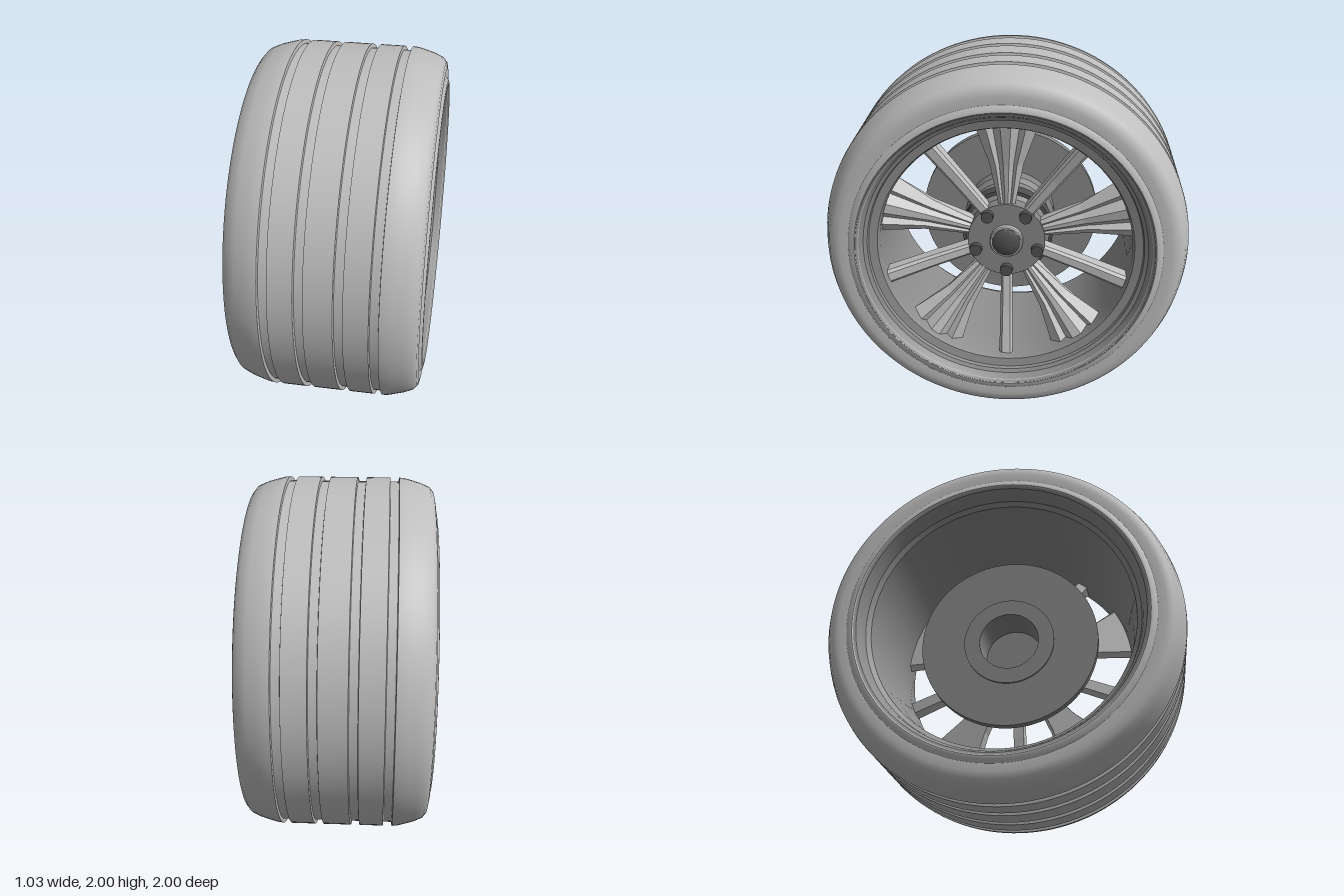
import * as THREE from 'three';
import { toCreasedNormals } from 'three/addons/utils/BufferGeometryUtils.js';

const mat = (name, color, side = THREE.FrontSide) => {
  const m = new THREE.MeshStandardMaterial({ color, side });
  m.name = name;
  return m;
};

// Revolve [radius, x] points around the x axis, keeping hard edges
function revolve(name, points, material, segments = 96, crease = 0.5) {
  const lathe = new THREE.LatheGeometry(points.map(([r, x]) => new THREE.Vector2(r, x)), segments);
  lathe.rotateZ(-Math.PI / 2);
  const mesh = new THREE.Mesh(toCreasedNormals(lathe, crease), material);
  mesh.name = name;
  return mesh;
}

// Skin a list of closed cross-sections, each a list of [x, y, z] corners
function loft(sections) {
  const pos = [];
  for (let i = 0; i < sections.length - 1; i++) {
    const s = sections[i], t = sections[i + 1], n = s.length;
    for (let j = 0; j < n; j++) {
      const k = (j + 1) % n;
      pos.push(...s[j], ...t[j], ...t[k], ...s[j], ...t[k], ...s[k]);
    }
  }
  const g = new THREE.BufferGeometry();
  g.setAttribute('position', new THREE.Float32BufferAttribute(pos, 3));
  g.computeVertexNormals();
  return g;
}

// Stations along a spoke: [radius, half width, front x, back x]
function spokeGeometry(stations, ridge) {
  return loft(stations.map(([r, w, front, back]) => [
    ...ridge.map(([t, drop]) => [front - drop * (w / 0.17), r, t * w]),
    [back, r, w * 0.85],
    [back, r, -w * 0.85],
  ]));
}

export function createModel() {
  const rubber = mat('tyre grey', 0xbebebe);
  const alloy = mat('spoke grey', 0xc2c2c2);
  const rimGrey = mat('rim grey', 0x8e8e8e, THREE.DoubleSide);
  const steel = mat('hub grey', 0x868686);
  const dark = mat('bolt grey', 0x505050);

  const wheel = new THREE.Group();
  wheel.name = 'wheel';

  // Tyre: rounded shoulders and four tread grooves
  const side = [[0.79, 0.5], [0.81, 0.515], [0.825, 0.513], [0.845, 0.5], [0.89, 0.502],
    [0.925, 0.495], [0.95, 0.475], [0.972, 0.425], [0.988, 0.37], [0.997, 0.335]];
  const tread = [];
  for (const [a, b] of [[-0.305, -0.255], [-0.125, -0.075], [0.075, 0.125], [0.255, 0.305]]) {
    tread.push([1, a], [0.978, a + 0.003], [0.978, b - 0.003], [1, b]);
  }
  const mirrored = side.map(([r, x]) => [r, -x]);
  wheel.add(revolve('tyre', [...mirrored, ...tread, ...side.slice().reverse()], rubber, 128));

  // Rim: stepped front lip, barrel and flared back lip
  wheel.add(revolve('rim', [
    [0.815, 0.508], [0.805, 0.513], [0.785, 0.495], [0.77, 0.465], [0.75, 0.455], [0.745, 0.435],
    [0.7, 0.425], [0.69, 0.4], [0.693, 0.2], [0.71, -0.15], [0.735, -0.4], [0.76, -0.42],
    [0.77, -0.47], [0.79, -0.505], [0.81, -0.513],
  ], rimGrey, 128));

  // Brake disc and hub with a bore open to the back
  wheel.add(revolve('brakeDisc', [[0.24, -0.13], [0.51, -0.13], [0.51, -0.08], [0.24, -0.08]], steel));
  wheel.add(revolve('hub', [[0, 0.1], [0.17, 0.1], [0.17, -0.14], [0.26, -0.14], [0.26, 0],
    [0.235, 0.02], [0.235, 0.2], [0.215, 0.22], [0.215, 0.3], [0, 0.3]], steel, 64));
  wheel.add(revolve('hubCollar', [[0.23, 0.12], [0.255, 0.12], [0.255, 0.2], [0.23, 0.2]], dark, 64));

  // Centre cap with a bright ring
  wheel.add(revolve('capRing', [[0.092, 0.29], [0.092, 0.325], [0.087, 0.332], [0.078, 0.332]], alloy, 48));
  wheel.add(revolve('centreCap', [[0.08, 0.29], [0.08, 0.335], [0.065, 0.345], [0.035, 0.352], [0, 0.355]], dark, 48));

  // Five ridged wide spokes alternating with five slim spokes
  const wideGeo = spokeGeometry(
    [[0.2, 0.045, 0.29, 0.19], [0.45, 0.092, 0.33, 0.23], [0.7, 0.178, 0.39, 0.27]],
    [[-1, 0.075], [-0.62, 0.02], [-0.42, 0.05], [-0.16, 0], [0.16, 0], [0.42, 0.05], [0.62, 0.02], [1, 0.075]]);
  const slimGeo = spokeGeometry(
    [[0.17, 0.031, 0.295, 0.2], [0.45, 0.035, 0.335, 0.24], [0.7, 0.039, 0.385, 0.28]],
    [[-1, 0.07], [-0.6, 0], [0.6, 0], [1, 0.07]]);
  const boltGeo = new THREE.CylinderGeometry(0.034, 0.037, 0.05, 16);
  boltGeo.rotateZ(-Math.PI / 2);

  for (let i = 0; i < 5; i++) {
    const angle = i * Math.PI * 2 / 5;
    const wide = new THREE.Mesh(wideGeo, alloy);
    wide.name = 'wideSpoke';
    wide.rotation.x = angle;

    const arm = new THREE.Group();
    arm.name = 'slimSpokeWithBolt';
    arm.rotation.x = angle + Math.PI / 5;
    const slim = new THREE.Mesh(slimGeo, alloy);
    slim.name = 'slimSpoke';
    const bolt = new THREE.Mesh(boltGeo, dark);
    bolt.name = 'wheelBolt';
    bolt.position.set(0.305, 0.18, 0);
    arm.add(slim, bolt);
    wheel.add(wide, arm);
  }

  wheel.position.y = 1;
  const model = new THREE.Group();
  model.name = 'wheelModel';
  model.add(wheel);
  return model;
}
